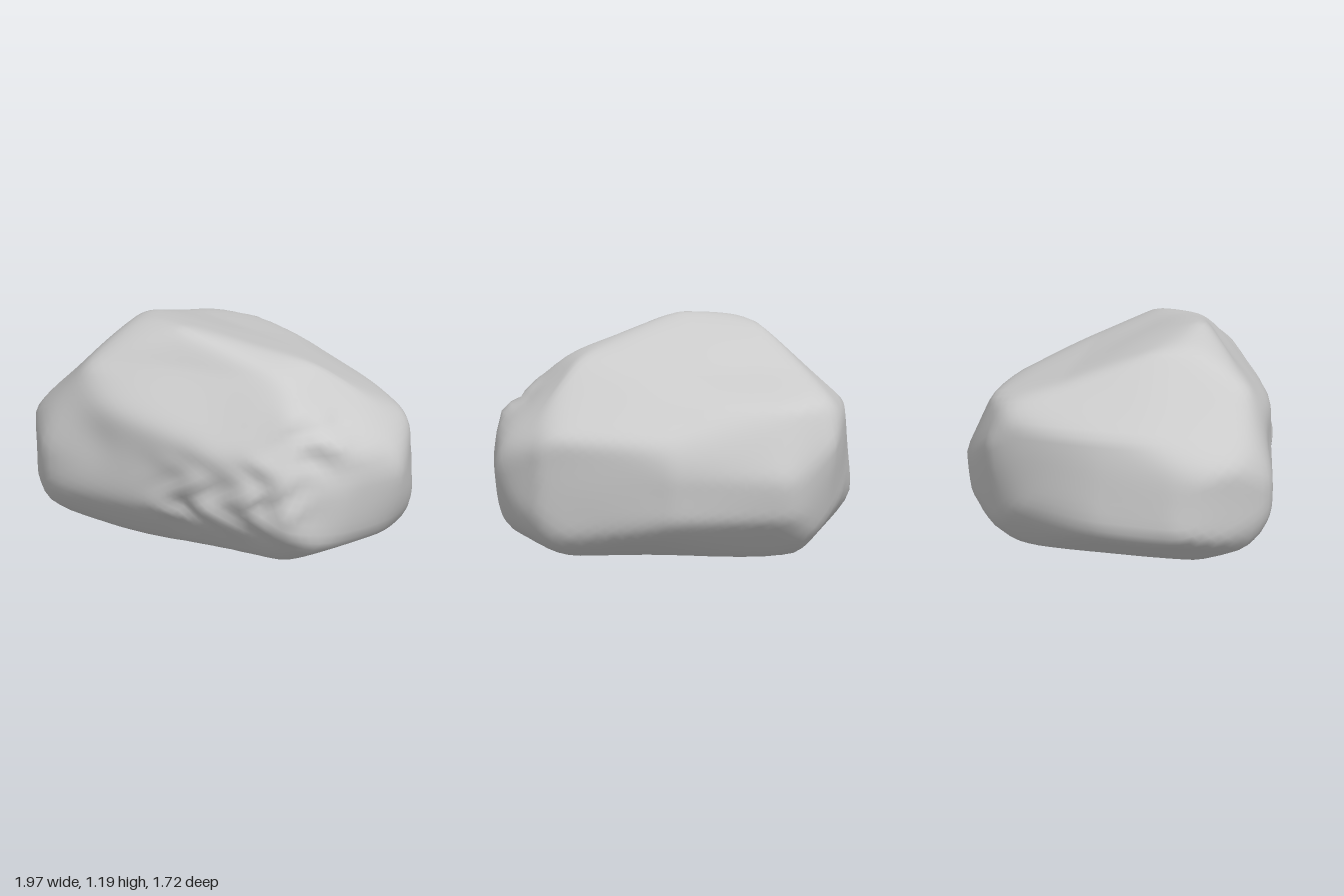
import * as THREE from 'three';
import { mergeVertices } from 'three/addons/utils/BufferGeometryUtils.js';

const V = (x, y, z) => new THREE.Vector3(x, y, z);

// An outline cut straight through the boulder along the line of sight given by
// a turn about y and a tilt in degrees. Points are relative to the boulder's middle.
function cut(turn, tilt, pts) {
  const facing = new THREE.Euler(THREE.MathUtils.degToRad(-tilt), THREE.MathUtils.degToRad(turn), 0, 'YXZ');
  return { u: V(1, 0, 0).applyEuler(facing), v: V(0, 1, 0).applyEuler(facing), pts };
}

const mainCuts = [
  // front
  cut(0, 0, [[-1, -.36], [-.9, .17], [-.5, .55], [-.1, .61], [.6, .44], [.95, .11], [1, -.1],
    [.9, -.45], [.6, -.59], [-.6, -.59]]),
  // side
  cut(90, 0, [[-.87, -.42], [-.87, -.1], [-.7, .37], [-.33, .61], [.3, .38], [.7, .26], [.87, -.1],
    [.83, -.32], [.6, -.58], [-.45, -.59]]),
  // top
  cut(0, 90, [[-.81, .67], [-.5, .88], [.1, .82], [.8, .55], [1, .28], [.95, -.08], [.8, -.42],
    [-.62, -.88], [-.83, -.78], [-1, -.42], [-.97, .02]]),
];
const cornerCuts = [
  cut(45, 20, [[-1.09, .05], [-.47, .62], [.1, .58], [.95, .09], [1, -.37], [.79, -.6], [.28, -.77],
    [-.95, -.56], [-1.08, -.3]]),
  cut(225, 20, [[-1, .08], [-.47, .54], [.3, .64], [.81, .45], [1.09, -.02], [1.08, -.43], [.55, -.76],
    [.15, -.86], [-.11, -.78], [-.95, -.4]]),
  cut(135, -30, [[-.9, -.1], [-.7, .38], [-.29, .59], [.58, .42], [.9, .27], [1.04, 0], [.95, -.38],
    [.76, -.6], [.44, -.87], [-.06, -.92]]),
  // slope of the front face, leaning back to the ridge
  cut(117, 0, [[-.77, -.4], [-.7, .03], [-.39, .42], [-.27, .61], [3, 1], [1, -2]]),
];
const cuts = [...mainCuts, ...cornerCuts];

// Inverse distance from the middle to a cut along a direction
function inverseReach({ u, v, pts }, dir) {
  const x = dir.dot(u), y = dir.dot(v);
  for (let i = 0; i < pts.length; i++) {
    const [ax, ay] = pts[i], [bx, by] = pts[(i + 1) % pts.length];
    const area = ax * by - ay * bx;
    const s = (x * by - y * bx) / area, q = (ax * y - ay * x) / area;
    if (s >= 0 && q >= 0) return s + q;
  }
  return 0;
}

// Irregular waves in -1..1
const waves = (p, f) => Math.sin(f * p.x + Math.sin(f * p.y)) * Math.cos(f * p.y + Math.sin(f * p.z));

// Soft falloff around a spot on the surface
const near = (p, spot, size) => Math.exp(-p.distanceToSquared(spot) / (size * size));

const cragSpots = [V(.7, -.2, .45), V(.3, -.25, .62), V(.8, .15, .2)];
const dentSpot = V(-.35, 0, .75);
const SHARPNESS = 30, MARGIN = 1.02;

function boulderGeometry() {
  let geo = new THREE.IcosahedronGeometry(1, 22);
  geo.deleteAttribute('normal');
  geo.deleteAttribute('uv');
  geo = mergeVertices(geo, 1e-4);
  const pos = geo.attributes.position, dir = V(0, 0, 0);
  for (let i = 0; i < pos.count; i++) {
    dir.fromBufferAttribute(pos, i).normalize();
    // the nearest cut wins, with rounded edges where cuts meet
    let sum = 0;
    for (const c of cuts) sum += inverseReach(c, dir) ** SHARPNESS;
    const p = dir.clone().multiplyScalar(MARGIN * sum ** (-1 / SHARPNESS));

    // gentle lumps all over, craggy front right, shallow dent on the front left
    let crag = 0;
    for (const spot of cragSpots) crag += near(p, spot, .2);
    const bump = .007 * waves(p, 6) + .035 * crag * (waves(p, 19) - .1) - .03 * near(p, dentSpot, .16);
    p.addScaledVector(dir, bump);
    pos.setXYZ(i, p.x, p.y, p.z);
  }
  geo.computeVertexNormals();
  return geo;
}

export function createModel() {
  const group = new THREE.Group();
  group.name = 'rock';
  const boulder = new THREE.Mesh(boulderGeometry(), new THREE.MeshStandardMaterial({ color: 0xcccccc }));
  boulder.name = 'boulder';
  boulder.position.y = .6;
  group.add(boulder);
  return group;
}
